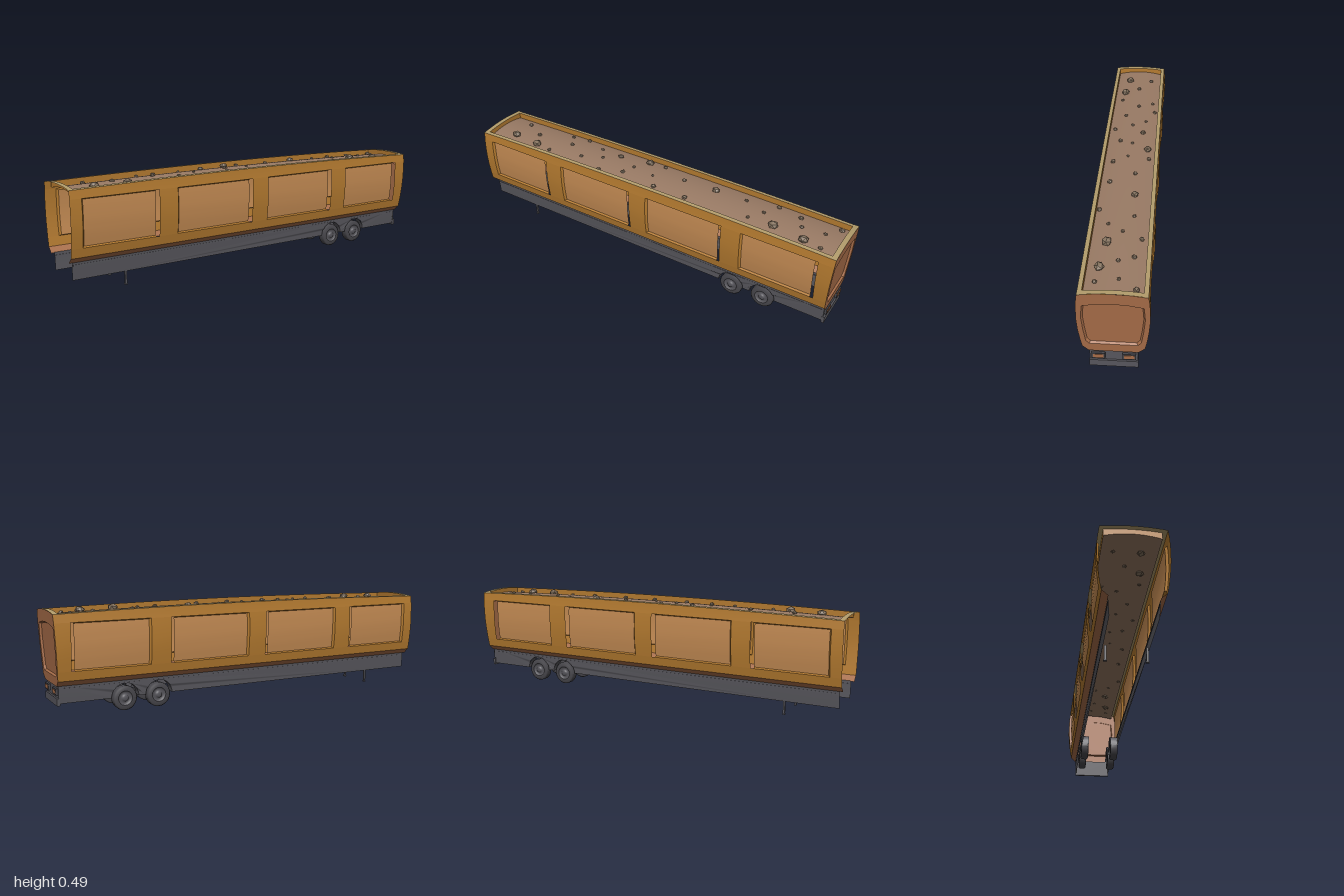
import * as THREE from 'three';

const paint = (name, color) => new THREE.MeshStandardMaterial({ name, color, side: THREE.DoubleSide });

// Grid surface from a rule f(u, v) -> [x, y, z]
function sheet(nu, nv, f) {
  const pos = [], idx = [];
  for (let i = 0; i <= nu; i++) for (let j = 0; j <= nv; j++) pos.push(...f(i / nu, j / nv));
  for (let i = 0; i < nu; i++) for (let j = 0; j < nv; j++) {
    const a = i * (nv + 1) + j, b = a + nv + 1;
    idx.push(a, a + 1, b, b, a + 1, b + 1);
  }
  const g = new THREE.BufferGeometry();
  g.setAttribute('position', new THREE.Float32BufferAttribute(pos, 3));
  g.setIndex(idx);
  g.computeVertexNormals();
  return g;
}

// Mirror across x, keeping the faces outward
function mirrored(geo) {
  const g = geo.clone().scale(-1, 1, 1), ix = g.index.array;
  for (let i = 0; i < ix.length; i += 3) [ix[i], ix[i + 1]] = [ix[i + 1], ix[i]];
  g.computeVertexNormals();
  return g;
}

const lerp = THREE.MathUtils.lerp;
const bow = z => 0.013 * (1 - z * z);
const arch = x => 0.01 * (1 - (x / 0.141) ** 2);
const rearZ = y => -1 + 0.05 * Math.max(0, 0.468 - y);

// Half width of the body at a height
const PROFILE = [[0.145, 0.103], [0.17, 0.13], [0.215, 0.138], [0.27, 0.145], [0.33, 0.149], [0.4, 0.148], [0.43, 0.146], [0.468, 0.141], [0.5, 0.141]];
function halfWidth(y) {
  let i = 0;
  while (i < PROFILE.length - 2 && y > PROFILE[i + 1][0]) i++;
  const [y0, x0] = PROFILE[i], [y1, x1] = PROFILE[i + 1];
  return lerp(x0, x1, (y - y0) / (y1 - y0));
}

const ROCKS = [
  -.09, -.94, .015, -.016, -.89, .01, .08, -.905, .012, .07, -.82, .025, -.005, -.78, .011, -.07, -.75, .013,
  .053, -.665, .026, -.095, -.63, .013, -.01, -.59, .01, .058, -.54, .01, -.053, -.48, .01, .108, -.43, .013,
  -.045, -.32, .02, .08, -.217, .014, -.037, -.148, .012, .08, -.042, .014, -.095, -.005, .012, .01, .005, .008,
  -.085, .08, .022, -.005, .127, .01, .058, .153, .013, -.053, .238, .016, .095, .275, .012, .005, .312, .01,
  -.063, .36, .009, .048, .418, .011, -.105, .476, .012, -.016, .524, .012, -.09, .571, .011, .08, .603, .011,
  .07, .693, .025, -.005, .735, .013, -.07, .85, .013, .053, .847, .024];

export function createModel() {
  const model = new THREE.Group();
  model.name = 'trailer';
  const ochre = paint('ochre frame', 0xb57b30), tan = paint('tan panel', 0xc48b53);
  const brown = paint('rust brown', 0xa66c48), sand = paint('sand rim', 0xb39d6c);
  const soil = paint('soil', 0x9a7b65), stone = paint('stone', 0x85735f);
  const grey = paint('chassis grey', 0x57565c), dark = paint('tyre grey', 0x48474c);

  const add = (name, geo, mat) => {
    const m = new THREE.Mesh(geo, mat);
    m.name = name;
    model.add(m);
    return m;
  };
  const both = (name, geo, mat) => {
    add(name + 'Left', geo, mat);
    add(name + 'Right', mirrored(geo), mat);
  };
  const box = (w, h, d, x, y, z) => new THREE.BoxGeometry(w, h, d).translate(x, y, z);

  // Curved side wall patch between two z and two y values, set in by a depth
  const wall = (z0, z1, y0, y1, inset = 0, nv = 6) => sheet(1, nv, (u, v) => {
    const y = lerp(y0, y1, v), z = lerp(z0, z1, u);
    return [halfWidth(y) - inset, y, z === -1 ? rearZ(y) : z];
  });

  // Side walls: bands, posts and recessed panels
  const WIN = [[0.946, 0.576], [0.48, 0.06], [-0.035, -0.45], [-0.55, -0.925]];
  const LO = 0.213, HI = 0.43, DEPTH = 0.011, SLIT = 0.015;
  both('lowerStrip', wall(1, -1, 0.145, 0.17, 0, 1), brown);
  both('lowerBand', wall(1, -1, 0.17, LO, 0, 2), ochre);
  both('upperBand', sheet(24, 2, (u, v) => {
    const z = 1 - 2 * u, y = lerp(HI, 0.468 + bow(z), v);
    return [halfWidth(Math.min(y, 0.468)), y, u === 1 ? rearZ(y) : z];
  }), ochre);
  const edges = [1, ...WIN.flat(), -1];
  for (let i = 0; i < edges.length; i += 2) both('post', wall(edges[i], edges[i + 1], LO, HI), ochre);
  for (const [z0, z1] of WIN) {
    const zf = z0 - 0.008, zr = z1 + SLIT;
    both('sidePanel', wall(zf, zr, LO + 0.005, HI - 0.005, DEPTH, 8), tan);
    both('panelFrontReveal', sheet(1, 6, (u, v) => {
      const y = lerp(lerp(LO, LO + 0.005, u), lerp(HI, HI - 0.005, u), v);
      return [halfWidth(y) - DEPTH * u, y, lerp(z0, zf, u)];
    }), ochre);
    for (const [y, d] of [[LO, 0.005], [HI, -0.005]]) both('panelEdgeReveal', sheet(1, 1, (u, v) =>
      [halfWidth(y + d * v) - DEPTH * v, y + d * v, lerp(lerp(z0, zf, v), zr, u)]), ochre);
  }

  // Top rim, its inner faces and the load
  const IN = 0.122, ZIN = 0.976;
  const loadY = (x, z) => 0.44 + 0.016 * (1 - (x / IN) ** 2) + bow(z);
  both('sideRim', sheet(24, 1, (u, v) => {
    const z = 1 - 2 * u;
    return [lerp(0.141, IN, v), 0.468 + bow(z) + 0.002 * v, z];
  }), sand);
  both('sideRimInner', sheet(24, 1, (u, v) => {
    const z = ZIN * (1 - 2 * u);
    return [IN, lerp(0.47 + bow(z), loadY(IN, z), v), z];
  }), ochre);
  for (const s of [1, -1]) {
    add('endRim', sheet(12, 1, (u, v) => {
      const x = lerp(-0.141, 0.141, u);
      return [x, 0.469 + arch(x), s * lerp(1, ZIN, v)];
    }), sand);
    add('endRimInner', sheet(12, 1, (u, v) => {
      const x = lerp(-IN, IN, u);
      return [x, lerp(0.469 + arch(x), loadY(x, ZIN), v), s * ZIN];
    }), ochre);
  }
  add('load', sheet(12, 24, (u, v) => {
    const x = lerp(-IN, IN, u), z = lerp(-ZIN, ZIN, v);
    return [x, loadY(x, z), z];
  }), soil);

  // Stones on the load
  for (let i = 0; i < ROCKS.length; i += 3) {
    const [x, z, r] = ROCKS.slice(i, i + 3);
    const g = new THREE.IcosahedronGeometry(r, 0).rotateX(i).rotateY(i * 1.7).scale(0.9, 0.75, 1);
    add('stone', g, stone).position.set(x, loadY(x, z) + r * 0.25, z);
  }

  // Rear wall with a recessed, angular panel
  const lean = g => {
    const p = g.attributes.position;
    for (let i = 0; i < p.count; i++) p.setZ(i, p.getZ(i) + rearZ(p.getY(i)));
    g.computeVertexNormals();
    return g;
  };
  const ring = half => [...half, ...half.filter(p => p[0] > 0).reverse().map(([x, y]) => [-x, y])].map(p => new THREE.Vector2(...p));
  const outline = ring([...PROFILE.slice(0, 8).map(([y, x]) => [x, y]), [0.07, 0.469 + arch(0.07)], [0, 0.479]]);
  const opening = ring([[0.1, 0.188], [0.114, 0.205], [0.123, 0.27], [0.129, 0.34], [0.124, 0.408], [0.06, 0.42], [0, 0.423]]);
  const inner = opening.map(p => new THREE.Vector2(p.x * 0.95, 0.305 + (p.y - 0.305) * 0.95));
  const frame = new THREE.Shape(outline);
  frame.holes.push(new THREE.Path(opening));
  const rear = (name, shape, inset) => {
    const g = new THREE.ShapeGeometry(shape);
    const ix = g.index.array;
    for (let i = 0; i < ix.length; i += 3) [ix[i], ix[i + 1]] = [ix[i + 1], ix[i]];
    add(name, lean(g.translate(0, 0, inset)), brown);
  };
  rear('rearFrame', frame, 0);
  rear('rearPanel', new THREE.Shape(inner), 0.01);
  const n = opening.length;
  add('rearReveal', lean(sheet(n, 1, (u, v) => {
    const k = Math.round(u * n) % n;
    const p = v ? inner[k] : opening[k];
    return [p.x, p.y, v * 0.01];
  }).toNonIndexed()), brown);

  // Skirts with wheel cut-outs
  const WHEELS = [-0.667, -0.5], WY = 0.062;
  const skirt = new THREE.Shape();
  skirt.moveTo(-0.975, 0.148);
  skirt.lineTo(-0.975, 0.065);
  for (const z of WHEELS) skirt.absarc(z, 0.065, 0.066, Math.PI, 0, true);
  skirt.lineTo(0.985, 0.065);
  skirt.lineTo(0.985, 0.148);
  const skirtGeo = new THREE.ShapeGeometry(skirt, 16).rotateY(-Math.PI / 2);
  const sp = skirtGeo.attributes.position;
  for (let i = 0; i < sp.count; i++) sp.setX(i, sp.getY(i) < 0.1 ? 0.098 : 0.103);
  skirtGeo.computeVertexNormals();
  both('skirt', skirtGeo, grey);
  both('skirtRail', box(0.004, 0.006, 1.95, 0.102, 0.132, 0.005), grey);

  // Wheels and their arches
  const tyre = new THREE.LatheGeometry([[0.03, 0.062], [0.052, 0.062], [0.058, 0.068], [0.058, 0.094], [0.052, 0.101], [0.034, 0.101]]
    .map(p => new THREE.Vector2(...p)), 24).rotateZ(-Math.PI / 2);
  const hub = new THREE.LatheGeometry([[0.034, 0.101], [0.03, 0.094], [0.018, 0.093], [0.015, 0.1], [0.008, 0.102], [0, 0.102]]
    .map(p => new THREE.Vector2(...p)), 24).rotateZ(-Math.PI / 2);
  for (const z of WHEELS) {
    both('tyre', tyre.clone().translate(0, WY - 0.003, z), dark);
    both('hub', hub.clone().translate(0, WY - 0.003, z), grey);
    both('wheelArch', sheet(16, 1, (u, v) => {
      const a = Math.PI * u;
      return [lerp(0.06, 0.101, v), 0.065 + 0.066 * Math.sin(a), z + 0.066 * Math.cos(a)];
    }), grey);
  }

  // Support legs
  both('supportLeg', box(0.01, 0.068, 0.009, 0.088, 0.036, 0.728), grey);
  both('supportFoot', box(0.016, 0.004, 0.012, 0.088, 0.002, 0.728), grey);

  // Rear chassis plate, bumper and lamps
  add('rearPlate', box(0.202, 0.09, 0.006, 0, 0.101, -0.974), grey);
  add('bumper', box(0.204, 0.034, 0.014, 0, 0.073, -0.978), grey);
  both('lampHousing', box(0.056, 0.03, 0.012, 0.064, 0.118, -0.981), dark);
  both('lamp', box(0.044, 0.018, 0.006, 0.064, 0.118, -0.986), brown);
  return model;
}
